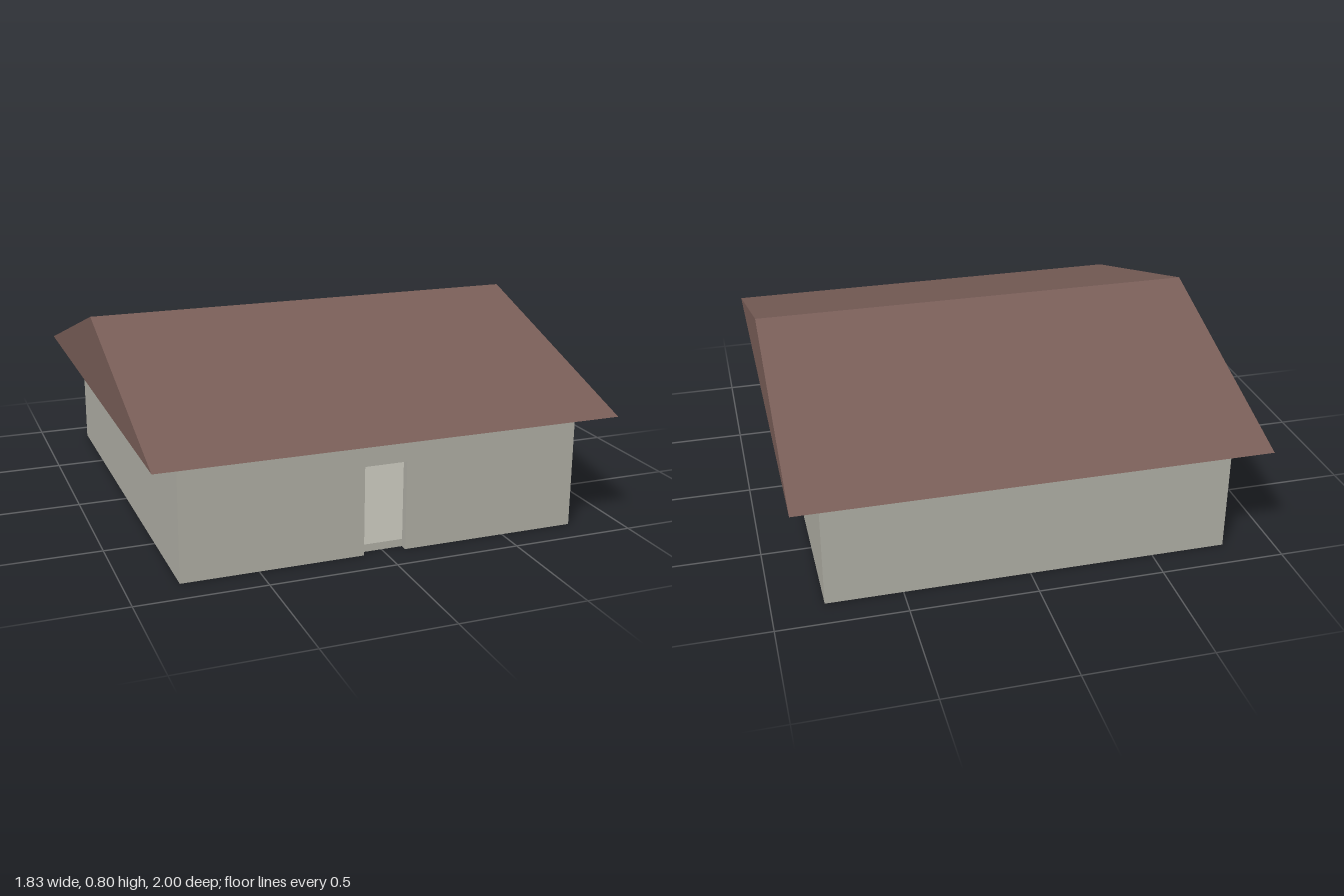
import * as THREE from 'three';

const W = 0.8, D = 0.88, H = 0.475; // wall half width, half depth, height
const T = 0.03; // wall and floor thickness
const DOOR_W = 0.085, DOOR_H = 0.355;
const ROOF_W = 0.915, ROOF_D = 1, RIDGE = 0.795;

const polygon = (points) => new THREE.Shape(points.map(([x, y]) => new THREE.Vector2(x, y)));

export function createModel() {
  const house = new THREE.Group();
  house.name = 'house';
  const wallMat = new THREE.MeshStandardMaterial({ color: 0xafaea4 });
  wallMat.name = 'grey plaster';
  const roofMat = new THREE.MeshStandardMaterial({ color: 0x785d57 });
  roofMat.name = 'brown roof';

  const add = (name, geometry, material, x = 0, y = 0, z = 0) => {
    const mesh = new THREE.Mesh(geometry, material);
    mesh.name = name;
    mesh.position.set(x, y, z);
    house.add(mesh);
    return mesh;
  };

  // Front wall with an open doorway reaching the ground
  const front = polygon([
    [-W, 0], [-DOOR_W, 0], [-DOOR_W, DOOR_H], [DOOR_W, DOOR_H],
    [DOOR_W, 0], [W, 0], [W, H], [-W, H],
  ]);
  add('frontWall', new THREE.ExtrudeGeometry(front, { depth: T, bevelEnabled: false }), wallMat, 0, 0, D - T);

  // Back and side walls around the hollow room
  add('backWall', new THREE.BoxGeometry(2 * W, H, T), wallMat, 0, H / 2, -D + T / 2);
  for (const [name, side] of [['leftWall', 1], ['rightWall', -1]]) {
    add(name, new THREE.BoxGeometry(T, H, 2 * (D - T)), wallMat, side * (W - T / 2), H / 2, 0);
  }

  // Floor slab, set back behind the doorway
  add('floor', new THREE.BoxGeometry(2 * (W - T), T, 2 * (D - T)), wallMat, 0, T / 2, 0);

  // Gabled roof: a triangular profile run along x
  const gable = polygon([[-ROOF_D, H], [ROOF_D, H], [0, RIDGE]]);
  const roof = new THREE.ExtrudeGeometry(gable, { depth: 2 * ROOF_W, bevelEnabled: false });
  roof.translate(0, 0, -ROOF_W).rotateY(Math.PI / 2);
  add('roof', roof, roofMat);

  return house;
}
